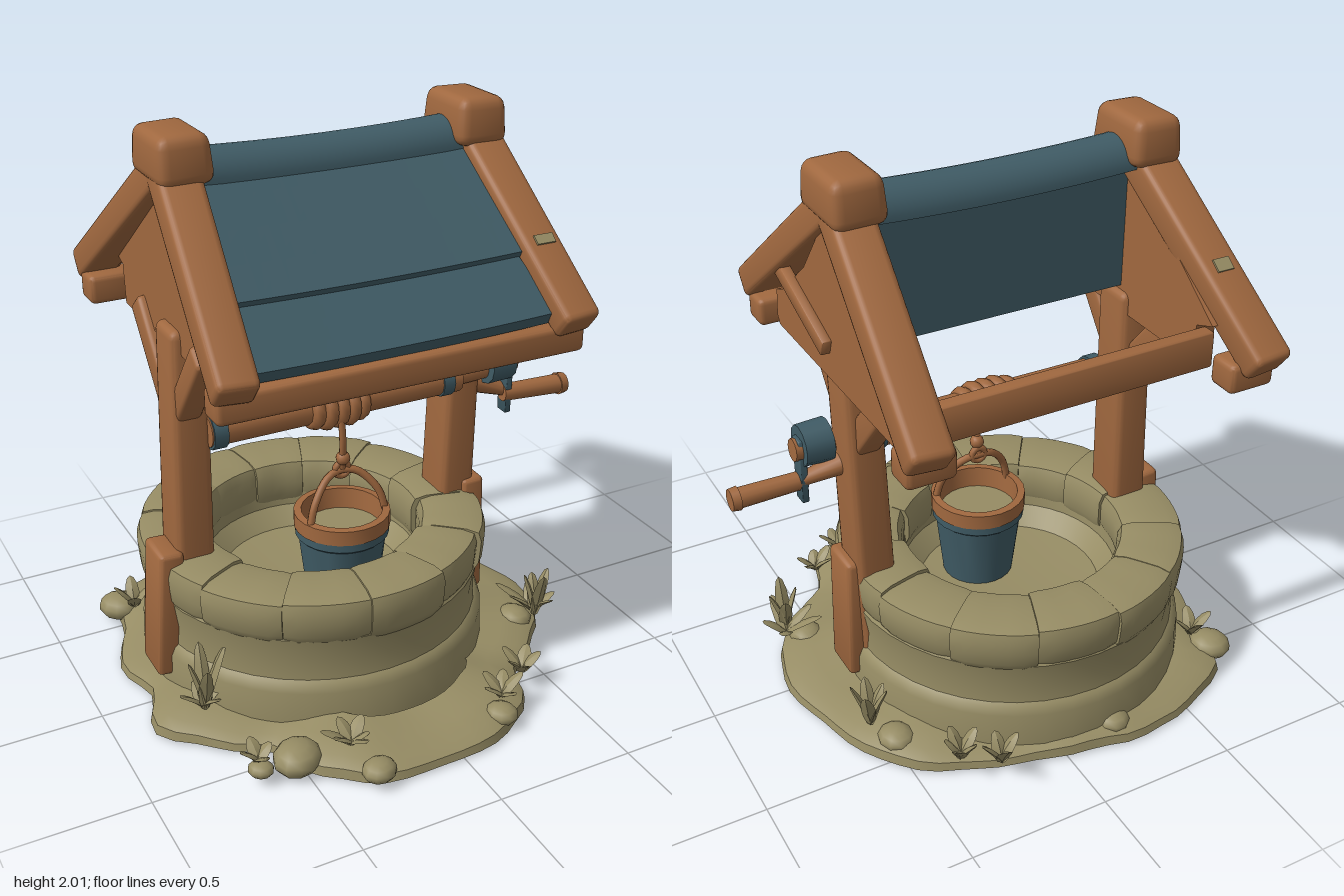
import * as THREE from 'three';
import { mergeVertices, toCreasedNormals } from 'three/addons/utils/BufferGeometryUtils.js';
import { RoundedBoxGeometry } from 'three/addons/geometries/RoundedBoxGeometry.js';

const V = (x, y, z) => new THREE.Vector3(x, y, z);
const paint = (name, color) => Object.assign(new THREE.MeshStandardMaterial({ color }), { name });

export function createModel() {
  const model = new THREE.Group();
  model.name = 'well';
  const wood = paint('wood', 0xa0683f);
  const slate = paint('slate blue', 0x405c66);
  const stone = paint('stone', 0x968c64);
  const stoneOpen = paint('stone open surface', 0x968c64);
  const slateOpen = paint('slate open surface', 0x405c66);
  const woodOpen = paint('wood open surface', 0xa0683f);
  for (const m of [stoneOpen, slateOpen, woodOpen]) m.side = THREE.DoubleSide;
  let seed = 7;
  const rand = (a, b) => {
    seed = (seed * 16807) % 2147483647;
    return a + (b - a) * (seed / 2147483647);
  };
  const add = (name, geo, mat, x = 0, y = 0, z = 0) => {
    const mesh = new THREE.Mesh(geo, mat);
    mesh.name = name;
    mesh.position.set(x, y, z);
    model.add(mesh);
    return mesh;
  };
  // Move every vertex by a rule, then rebuild the normals
  const warp = (geo, rule, crease = 0.7) => {
    geo.deleteAttribute('normal');
    geo.deleteAttribute('uv');
    const g = mergeVertices(geo), p = g.attributes.position, v = V(0, 0, 0);
    for (let i = 0; i < p.count; i++) {
      v.fromBufferAttribute(p, i);
      rule(v);
      p.setXYZ(i, v.x, v.y, v.z);
    }
    return toCreasedNormals(g, crease);
  };
  // Rounded timber from a to b; w runs along the hint axis, taper scales the far end
  const beam = (name, a, b, w, h, taper = 1, hint = V(1, 0, 0), mat = wood) => {
    const len = a.distanceTo(b), y = b.clone().sub(a).normalize();
    const x = hint.clone().addScaledVector(y, -hint.dot(y)).normalize();
    const geo = warp(new RoundedBoxGeometry(w, len, h, 2, Math.min(w, h) * 0.2), (v) => {
      const k = THREE.MathUtils.lerp(1, taper, v.y / len + 0.5);
      v.x *= k;
      v.z *= k;
    });
    const mesh = add(name, geo, mat);
    mesh.quaternion.setFromRotationMatrix(new THREE.Matrix4().makeBasis(x, y, x.clone().cross(y)));
    mesh.position.copy(a).add(b).multiplyScalar(0.5);
    return mesh;
  };
  const rod = (name, a, b, r1, r2, mat = wood) => {
    const geo = new THREE.CylinderGeometry(r2, r1, a.distanceTo(b), 12);
    const mesh = add(name, geo, mat);
    mesh.quaternion.setFromUnitVectors(V(0, 1, 0), b.clone().sub(a).normalize());
    mesh.position.copy(a).add(b).multiplyScalar(0.5);
    return mesh;
  };
  const lathe = (pts, n = 32) => toCreasedNormals(new THREE.LatheGeometry(pts.map((p) => new THREE.Vector2(...p)), n), 0.6);
  const CX = -0.13, CZ = -0.12;

  // Earth apron: a lathe stretched to an uneven outline, one radius per 15 degrees from +x to +z
  const outline = [0.8, 0.78, 0.72, 0.68, 0.78, 0.81, 0.8, 0.82, 0.77, 0.68, 0.74, 0.82,
    0.73, 0.8, 0.8, 0.9, 0.86, 0.82, 0.76, 0.74, 0.76, 0.8, 0.8, 0.78];
  const apron = new THREE.LatheGeometry([[1, 0], [0.99, 0.03], [0.94, 0.05], [0.84, 0.062], [0.7, 0.08]]
    .map((p) => new THREE.Vector2(...p)), 72);
  add('earthApron', warp(apron, (v) => {
    const t = (((Math.atan2(v.z, v.x) / (Math.PI * 2)) + 1) % 1) * 24, i = Math.floor(t) % 24;
    const r = THREE.MathUtils.lerp(outline[i], outline[(i + 1) % 24], THREE.MathUtils.smoothstep(t % 1, 0, 1));
    v.x *= r;
    v.z *= r;
    v.y *= 1 + 0.15 * Math.sin(t * 1.83);
  }), stoneOpen, -0.08, 0, -0.02);

  // Well wall with its hollow bowl, and the ring of cap stones
  add('wellWall', lathe([[0.63, 0.02], [0.625, 0.17], [0.612, 0.2], [0.6, 0.21], [0.595, 0.28], [0.608, 0.37],
    [0.58, 0.42], [0.4, 0.42], [0.39, 0.34], [0.33, 0.275], [0.2, 0.262], [0, 0.26]], 40), stoneOpen, CX, 0, CZ);
  const stones = 13;
  for (let i = 0; i < stones; i++) {
    const arc = (Math.PI * 2) / stones, out = rand(-0.01, 0.01), top = rand(-0.01, 0.006);
    const block = new THREE.BoxGeometry(1, 1, 1, 6, 4, 4);
    add('capStone', warp(block, (v) => {
      // Soften each corner, then bend the block around the ring
      const e = 0.5 - Math.abs(v.x) < 0.01 ? 0.96 : 1;
      const round = 1 - 0.13 * Math.pow(Math.abs(v.y) * 2, 4) * Math.pow(Math.abs(v.z) * 2, 4);
      const a = (i + v.x * 0.995) * arc;
      const r = 0.502 + out + v.z * 0.238 * e * round + (v.z > 0 ? 0.015 * v.y : 0);
      v.set(Math.cos(a) * r, 0.437 + v.y * e * round * 0.185 + (v.y > 0 ? top : 0), -Math.sin(a) * r);
    }, 0.9), stone, CX, 0, CZ);
  }

  // Each side: post, outer plank, braces, gable, rafters, ridge block
  const sides = [
    { s: -1, foot: -0.63, head: -0.605, top: -0.605, eave: -0.675, plank: [-0.745, -0.715], gable: -0.6 },
    { s: 1, foot: 0.4, head: 0.445, top: 0.46, eave: 0.515, plank: [0.485, 0.475], gable: 0.48 },
  ];
  for (const d of sides) {
    beam('post', V(d.foot, 0.06, -0.08), V(d.head, 1.36, -0.08), 0.145, 0.175, 0.9);
    beam('outerPlank', V(d.plank[0], 0.09, -0.065), V(d.plank[1], 0.57, -0.06), 0.09, 0.16);
    beam('frontBrace', V(d.head - 0.015, 1.06, -0.05), V(d.head - 0.015, 1.35, 0.18), 0.09, 0.09);
    beam('backBrace', V(d.head - 0.015, 1.04, -0.11), V(d.head - 0.015, 1.35, -0.37), 0.09, 0.1);
    beam('frontRafter', V(d.top, 1.89, -0.1), V(d.eave, 1.365, 0.545), 0.15, 0.12, 0.92);
    beam('backRafter', V(d.top, 1.87, -0.1), V(d.eave + 0.005, 1.355, -0.785), 0.15, 0.12, 0.95);
    const cap = beam('ridgeBlock', V(d.top - d.s * 0.005, 1.84, -0.095), V(d.top - d.s * 0.007, 2, -0.095), 0.19, 0.285, 0.9);
    cap.rotation.z += d.s * -0.04;
    const tri = new THREE.Shape([[0.35, 1.28], [0.37, 1.31], [0.36, 1.41], [0.3, 1.435], [0.1, 1.6], [-0.1, 1.85],
      [-0.62, 1.45], [-0.54, 1.42], [-0.53, 1.28]].map((p) => new THREE.Vector2(...p)));
    add('gable', new THREE.ExtrudeGeometry(tri, { depth: 0.075, bevelEnabled: false }).rotateY(-Math.PI / 2), wood, d.gable + 0.0375, 0, 0);
    beam('brokenPurlin', V(d.eave - d.s * 0.11, 1.305, -0.68), V(d.eave + d.s * 0.06, 1.305, -0.68), 0.115, 0.105, 1, V(0, 0, 1));
  }
  beam('looseBatten', V(0.53, 1.54, 0.29), V(0.53, 1.4, -0.09), 0.04, 0.06);
  beam('frontPurlin', V(-0.725, 1.31, 0.455), V(0.57, 1.305, 0.455), 0.11, 0.1, 1, V(0, 0, 1));
  beam('backBatten', V(-0.6, 1.345, -0.565), V(0.5, 1.34, -0.565), 0.055, 0.13, 1, V(0, 0, 1));
  // Lichen patches on the rafters
  add('lichen', new THREE.BoxGeometry(0.07, 0.009, 0.035).rotateX(0.69), stone, 0.5, 1.602, 0.348);
  add('lichen', new THREE.BoxGeometry(0.06, 0.009, 0.045).rotateX(-0.65), stone, -0.645, 1.615, -0.54);

  // Roof cover: sagging sheets between two (z, y) edges
  const sheet = (name, z0, y0, z1, y1, thick, inset = 0) => {
    add(name, warp(new THREE.BoxGeometry(1, 1, 1, 10, 1, 4), (v) => {
      const t = v.z + 0.5, x = v.x, sag = 0.008 * (1 - 4 * x * x);
      const lo = THREE.MathUtils.lerp(-0.565, -0.605, t) + inset, hi = THREE.MathUtils.lerp(0.41, 0.46, t) - inset;
      v.set(THREE.MathUtils.lerp(lo, hi, x + 0.5), THREE.MathUtils.lerp(y0, y1, t) + v.y * thick - sag,
        THREE.MathUtils.lerp(z0, z1, t) + v.y * thick * 0.5);
    }), slate);
  };
  sheet('upperRoofSheet', -0.07, 1.865, 0.325, 1.55, 0.035);
  sheet('lowerRoofSheet', 0.27, 1.565, 0.485, 1.385, 0.04);
  sheet('roofUnderlay', 0.1, 1.66, 0.44, 1.375, 0.02, 0.03);
  // Upright sheet hanging below the ridge
  add('hangingSheet', new THREE.BoxGeometry(1, 0.47, 0.015), slate, -0.075, 1.61, -0.1);
  const roll = new THREE.CylinderGeometry(0.098, 0.098, 1, 16, 8, true, 0, Math.PI).rotateZ(Math.PI / 2);
  add('ridgeRoll', warp(roll, (v) => {
    const x = v.x;
    v.set(-0.075 + x * 0.98, 1.833 + Math.abs(v.y) - 0.014 * (1 - 4 * x * x), -0.095 + v.z);
  }), slateOpen);

  // Windlass with rope coils, collars and crank
  rod('axle', V(-0.56, 0.99, -0.01), V(0.4, 0.995, -0.01), 0.056, 0.056);
  rod('collar', V(-0.555, 0.99, -0.01), V(-0.505, 0.99, -0.01), 0.066, 0.066, slate);
  rod('collar', V(0.32, 0.995, -0.01), V(0.365, 0.995, -0.01), 0.062, 0.062, slate);
  for (let i = 0; i < 5; i++) {
    add('ropeCoil', new THREE.TorusGeometry(0.052 + (i % 4 ? 0.01 : 0), 0.025, 8, 20).rotateY(Math.PI / 2 + 0.1),
      wood, -0.175 + i * 0.043, 0.99, -0.01);
  }
  rod('crankShaft', V(0.4, 1, -0.01), V(0.64, 1.01, -0.01), 0.04, 0.04);
  rod('crankHub', V(0.515, 1.02, -0.01), V(0.615, 1.02, -0.01), 0.076, 0.072, slate);
  beam('crankArm', V(0.615, 1.05, -0.01), V(0.615, 0.81, -0.015), 0.028, 0.06, 0.9, V(1, 0, 0), slate);
  rod('crankHandle', V(0.6, 0.885, -0.01), V(0.84, 0.877, 0), 0.032, 0.036);
  rod('handleKnob', V(0.835, 0.877, 0), V(0.865, 0.877, 0), 0.042, 0.038);
  rod('crankPeg', V(0.46, 0.95, -0.06), V(0.61, 0.895, -0.02), 0.045, 0.025);

  // Rope, bail and bucket
  const BX = -0.08, BZ = 0.03;
  const line = (name, pts, r) => add(name, new THREE.TubeGeometry(new THREE.CatmullRomCurve3(pts), 24, r, 8), wood);
  line('rope', [V(-0.09, 0.96, 0.05), V(-0.085, 0.86, 0.05), V(BX, 0.75, BZ)], 0.013);
  add('ropeKnot', new THREE.SphereGeometry(0.026, 10, 8), wood, BX, 0.8, BZ + 0.01);
  add('ropeKnot', new THREE.TorusGeometry(0.026, 0.012, 8, 14), wood, BX, 0.752, BZ);
  line('bail', [V(BX - 0.15, 0.57, BZ + 0.05), V(BX - 0.125, 0.66, BZ + 0.04), V(BX - 0.06, 0.735, BZ + 0.01), V(BX, 0.75, BZ),
    V(BX + 0.06, 0.735, BZ + 0.01), V(BX + 0.125, 0.66, BZ + 0.04), V(BX + 0.15, 0.57, BZ + 0.05)], 0.014);
  add('bucketBody', lathe([[0, 0.265], [0.13, 0.265], [0.157, 0.5], [0.168, 0.51], [0.168, 0.545]], 24), slateOpen, BX, 0, BZ);
  add('bucketRim', lathe([[0.16, 0.535], [0.172, 0.54], [0.172, 0.595], [0.145, 0.597], [0.13, 0.42]], 24), woodOpen, BX, 0, BZ);
  add('bucketFill', new THREE.CircleGeometry(0.145, 20).rotateX(-Math.PI / 2), stone, BX, 0.52, BZ);

  // Loose rocks around the base: x, z, radius
  for (const [x, z, r] of [[-0.52, 0.57, 0.09], [-0.31, 0.75, 0.062], [-0.65, 0.57, 0.045], [-0.74, -0.56, 0.08],
    [0.2, 0.68, 0.06], [0.56, 0.2, 0.07], [-0.2, -0.72, 0.07], [0.5, -0.45, 0.07]]) {
    add('rock', new THREE.SphereGeometry(r, 10, 7).scale(1, 0.6, 0.9), stone, x, 0.045, z).rotation.y = rand(0, 6);
  }

  // Grass tufts: x, z, leaf height, leaf count, outward lean
  for (const [x, z, size, count, lean] of [[0.25, -0.74, 0.12, 4, 0.6], [0.36, -0.66, 0.11, 5, 0.7],
    [0.56, -0.37, 0.17, 5, 0.35], [0.62, 0.25, 0.2, 4, 0.3], [0.63, 0.22, 0.09, 5, 1.2], [0.38, 0.53, 0.07, 5, 1.1],
    [0.24, 0.62, 0.07, 5, 1.2], [-0.34, 0.61, 0.06, 6, 1.3], [-0.65, 0.55, 0.06, 4, 1.1], [-0.7, 0.22, 0.2, 4, 0.3],
    [-0.7, 0.2, 0.08, 4, 1.1], [-0.7, -0.5, 0.09, 4, 0.8]]) {
    const tuft = new THREE.Group();
    tuft.name = 'grassTuft';
    tuft.position.set(x, 0.06, z);
    for (let i = 0; i < count; i++) {
      const len = size * rand(0.75, 1.2), bend = lean * rand(0.8, 1.2);
      const leaf = new THREE.SphereGeometry(1, 4, 6).scale(0.026, len / 2, 0.011).translate(0, len / 2, 0);
      const mesh = new THREE.Mesh(warp(leaf, (v) => {
        v.z += v.y * bend * (0.5 + v.y / len * 0.5);
      }, 0.3), stone);
      mesh.name = 'grassLeaf';
      mesh.rotation.y = (i / count) * Math.PI * 2 + rand(-0.3, 0.3);
      tuft.add(mesh);
    }
    model.add(tuft);
  }
  return model;
}
